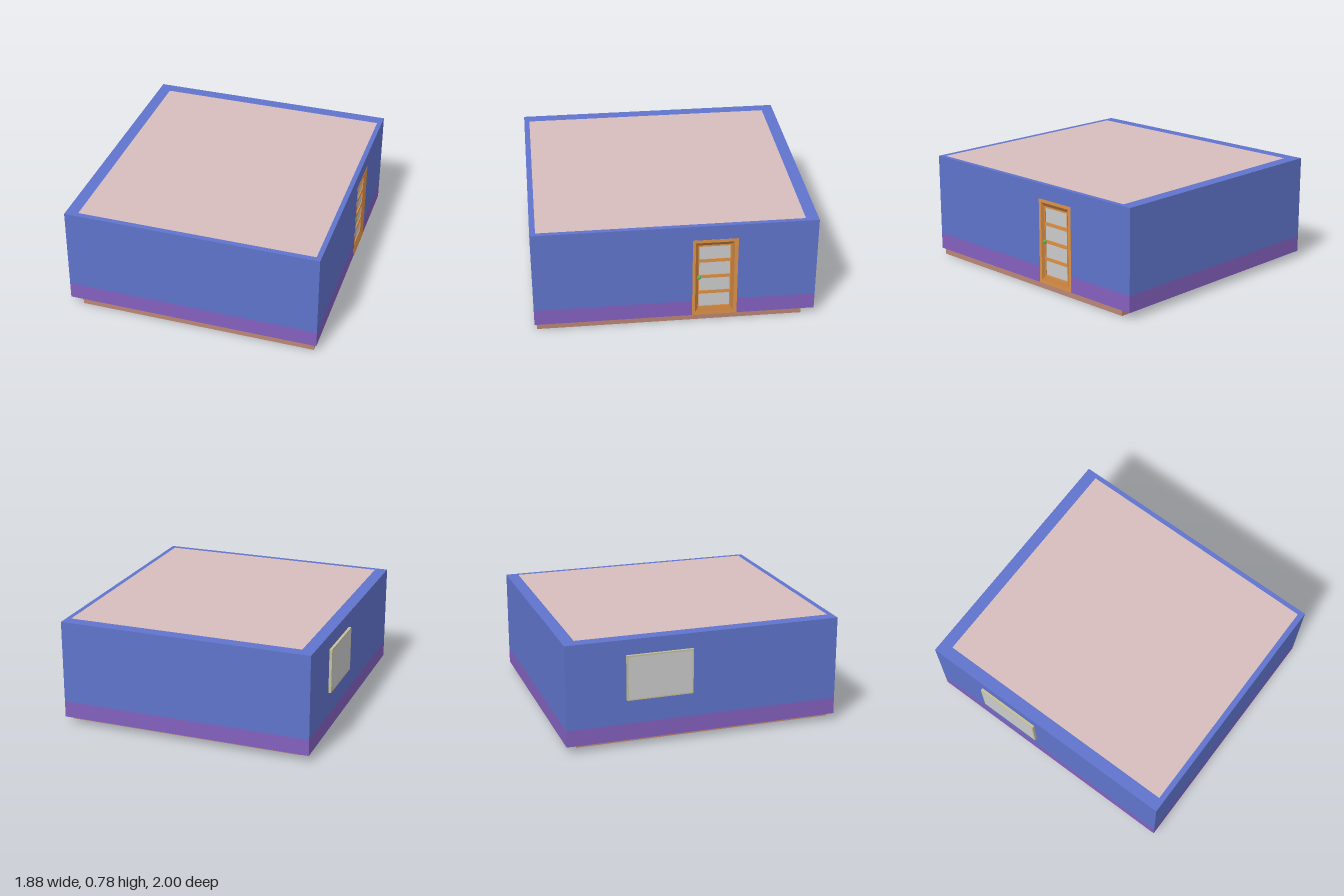
import * as THREE from 'three';

const mat = (color) => new THREE.MeshStandardMaterial({ color, side: THREE.DoubleSide });
const blue = mat(0x6074cc), purple = mat(0x8460bf), brown = mat(0xbb8676), pink = mat(0xd8bebe);
const orange = mat(0xdc9148), darkOrange = mat(0xc07c3c), grey = mat(0xcccccc), khaki = mat(0xc4c09a), green = mat(0x4fb35a);

// Outline of the walls, seen from above, and of their inner faces
const OUT = { x0: -0.92, x1: 0.93, z0: -1, z1: 1 };
const IN = { x0: -0.83, x1: 0.895, z0: -0.91, z1: 0.96 };
const BASE = 0.05, BAND = 0.17, TOP = 0.78;
// Door opening in the right wall; u runs towards the back (u = -z)
const DOOR = { u0: 0.118, u1: 0.438, y0: BASE, y1: 0.67 };

function rect(Type, u0, y0, u1, y1) {
  const s = new Type();
  s.moveTo(u0, y0);
  s.lineTo(u1, y0);
  s.lineTo(u1, y1);
  s.lineTo(u0, y1);
  s.closePath();
  return s;
}

export function createModel() {
  const root = new THREE.Group();
  const add = (name, geo, material, parent = root) => {
    const mesh = new THREE.Mesh(geo, material);
    mesh.name = name;
    parent.add(mesh);
    return mesh;
  };
  const box = (name, material, x0, x1, y0, y1, z0, z1, parent) => {
    const mesh = add(name, new THREE.BoxGeometry(x1 - x0, y1 - y0, z1 - z0), material, parent);
    mesh.position.set((x0 + x1) / 2, (y0 + y1) / 2, (z0 + z1) / 2);
  };
  // Flat panel facing +x (turn 1), -x (turn -1), +z (turn 0) or -z (turn 2)
  const panel = (name, material, w, h, x, y, z, turn, parent) => {
    const mesh = add(name, new THREE.PlaneGeometry(w, h), material, parent);
    mesh.position.set(x, y, z);
    mesh.rotation.y = turn * Math.PI / 2;
  };

  // Foundation slab
  box('foundation', brown, -0.83, 0.91, 0, BASE, -0.91, 0.985);

  // Wall faces in two colour bands, outside and inside, open at the bottom
  const walls = new THREE.Group();
  walls.name = 'walls';
  root.add(walls);
  for (const [name, material, y0, y1] of [['skirtingBand', purple, BASE, BAND], ['wall', blue, BAND, TOP]]) {
    const h = y1 - y0, y = (y0 + y1) / 2;
    for (const r of [OUT, IN]) {
      const w = r.x1 - r.x0, d = r.z1 - r.z0, cx = (r.x0 + r.x1) / 2, cz = (r.z0 + r.z1) / 2;
      panel(name + 'Front', material, w, h, cx, y, r.z1, 0, walls);
      panel(name + 'Back', material, w, h, cx, y, r.z0, 2, walls);
      panel(name + 'Left', material, d, h, r.x0, y, cz, -1, walls);
      if (r === IN) panel(name + 'Right', material, d, h, r.x1, y, cz, 1, walls);
    }
    // Outer right wall leaves the doorway free
    for (const [u0, u1] of [[-1, DOOR.u0], [DOOR.u1, 1]])
      panel(name + 'Right', material, u1 - u0, h, OUT.x1, y, -(u0 + u1) / 2, 1, walls);
  }
  panel('wallAboveDoor', blue, DOOR.u1 - DOOR.u0, TOP - DOOR.y1, OUT.x1, (TOP + DOOR.y1) / 2,
    -(DOOR.u0 + DOOR.u1) / 2, 1, walls);

  // Wall top ring with the roof panel flush inside it
  const ring = rect(THREE.Shape, OUT.x0, -OUT.z1, OUT.x1, -OUT.z0);
  ring.holes.push(rect(THREE.Path, IN.x0, -IN.z1, IN.x1, -IN.z0));
  const wallTop = add('wallTop', new THREE.ShapeGeometry(ring), blue, walls);
  wallTop.rotation.x = -Math.PI / 2;
  wallTop.position.y = TOP;
  box('roofPanel', pink, IN.x0, IN.x1, TOP - 0.03, TOP, IN.z0, IN.z1);

  // Door, drawn in (u, y) and turned to face +x
  const door = new THREE.Group();
  door.name = 'door';
  door.rotation.y = Math.PI / 2;
  root.add(door);
  const frame = rect(THREE.Shape, DOOR.u0, DOOR.y0, DOOR.u1, DOOR.y1);
  frame.holes.push(rect(THREE.Path, 0.139, 0.075, 0.412, 0.647));
  const frameMesh = add('doorFrame', new THREE.ExtrudeGeometry(frame, { depth: 0.026, bevelEnabled: false }), orange, door);
  frameMesh.position.z = 0.906;

  // Sloping moulding between the frame and the recessed leaf
  const outer = [[0.139, 0.075], [0.412, 0.075], [0.412, 0.647], [0.139, 0.647]];
  const inner = [[0.16, 0.1], [0.391, 0.1], [0.391, 0.622], [0.16, 0.622]];
  const pos = [];
  for (let i = 0; i < 4; i++) {
    const j = (i + 1) % 4;
    const a = [...outer[i], 0.932], b = [...outer[j], 0.932], c = [...inner[j], 0.918], d = [...inner[i], 0.918];
    pos.push(...a, ...b, ...c, ...a, ...c, ...d);
  }
  const slope = new THREE.BufferGeometry();
  slope.setAttribute('position', new THREE.Float32BufferAttribute(pos, 3));
  slope.computeVertexNormals();
  add('doorMoulding', slope, darkOrange, door);

  // Leaf with four glazed openings
  const leaf = rect(THREE.Shape, 0.139, 0.075, 0.412, 0.647);
  for (let i = 0; i < 4; i++) {
    const y = 0.115 + i * 0.13;
    leaf.holes.push(rect(THREE.Path, 0.166, y, 0.385, y + 0.105));
  }
  const leafMesh = add('doorLeaf', new THREE.ExtrudeGeometry(leaf, { depth: 0.01, bevelEnabled: false }), orange, door);
  leafMesh.position.z = 0.908;
  box('doorGlass', grey, 0.15, 0.4, 0.09, 0.635, 0.9, 0.911, door);

  // Door knob
  const knob = add('doorKnob', new THREE.SphereGeometry(0.014, 20, 12), green, door);
  knob.position.set(0.165, 0.36, 0.922);

  // Window on the left wall
  box('windowFrame', khaki, -0.94, -0.92, 0.345, 0.67, -0.57, -0.09);
  panel('windowPane', grey, 0.46, 0.305, -0.941, 0.5075, -0.33, -1);

  return root;
}
